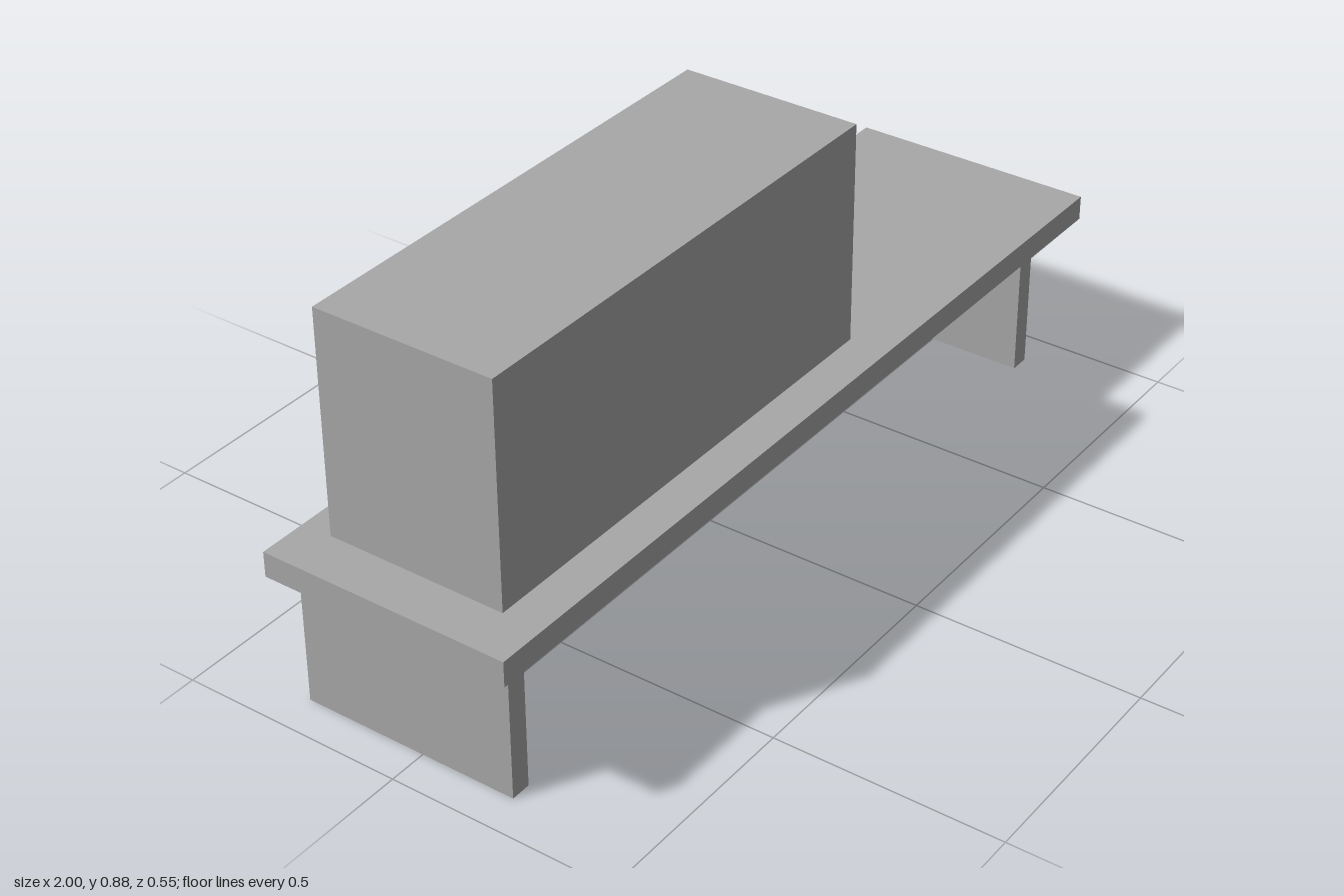
import * as THREE from 'three';

export function createModel() {
  const model = new THREE.Group();
  model.name = 'benchWithBox';
  const grey = new THREE.MeshStandardMaterial({ color: 0xa8a8a8 });
  grey.name = 'grey';

  // Adds a box centred at (x, y, z)
  function addBox(name, [w, h, d], [x, y, z]) {
    const mesh = new THREE.Mesh(new THREE.BoxGeometry(w, h, d), grey);
    mesh.name = name;
    mesh.position.set(x, y, z);
    model.add(mesh);
    return mesh;
  }

  // Bench top, resting a hair above its two slab legs
  addBox('benchTop', [2, 0.055, 0.554], [0, 0.3675, 0]);
  addBox('leftLeg', [0.045, 0.334, 0.49], [0.888, 0.167, -0.032]);
  addBox('rightLeg', [0.045, 0.334, 0.49], [-0.892, 0.167, -0.032]);

  // Large block on the bench
  addBox('block', [1.112, 0.487, 0.4], [-0.336, 0.6385, -0.011]);

  // Narrow slat leaning against the end of the block
  const slat = addBox('leaningSlat', [0.13, 0.487, 0.045], [0.2465, 0.625, -0.0105]);
  slat.rotation.z = 0.346;

  return model;
}
